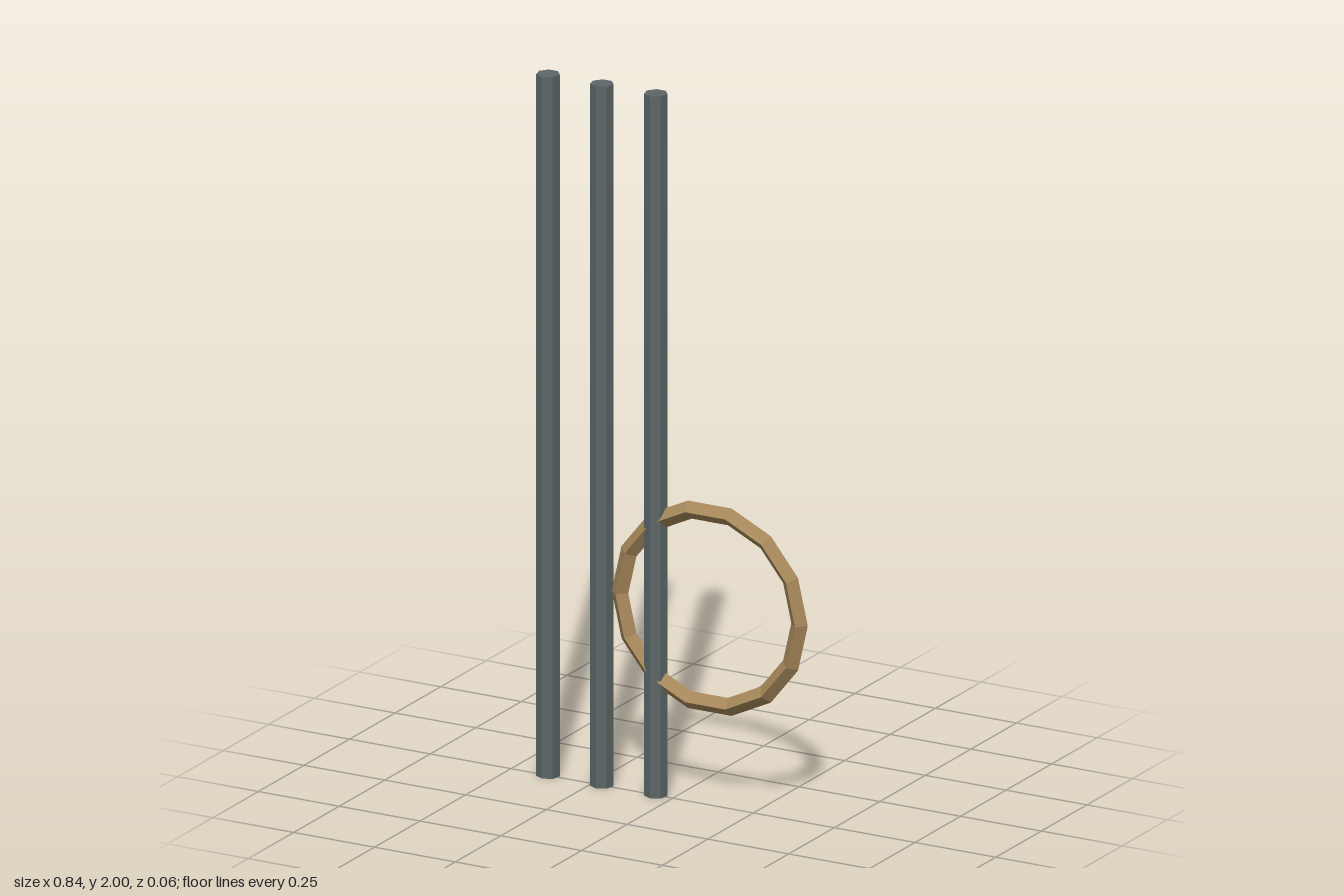
import * as THREE from 'three';

export function createModel() {
  const group = new THREE.Group();
  const iron = new THREE.MeshStandardMaterial({ color: 0x5c6767, flatShading: true });
  iron.name = 'dark grey iron';
  const brass = new THREE.MeshStandardMaterial({ color: 0xa5875a, flatShading: true });
  brass.name = 'tan brass';

  const depth = -0.0016; // seven-sided bars are slightly deeper at the front
  const spacing = 0.1667;
  const firstX = -0.386;

  // Three upright bars, each with a corner to the front
  const barGeometry = new THREE.CylinderGeometry(0.0327, 0.0327, 2, 7);
  for (let i = 0; i < 3; i++) {
    const bar = new THREE.Mesh(barGeometry, iron);
    bar.name = `bar${i + 1}`;
    bar.position.set(firstX + i * spacing, 1, depth);
    group.add(bar);
  }

  // Fourteen-sided ring of diamond section, threaded by the last bar
  const ring = new THREE.Mesh(new THREE.TorusGeometry(0.2777, 0.0255, 4, 14), brass);
  ring.name = 'ring';
  ring.position.set(firstX + 3 * spacing, 0.56, depth);
  group.add(ring);

  return group;
}
